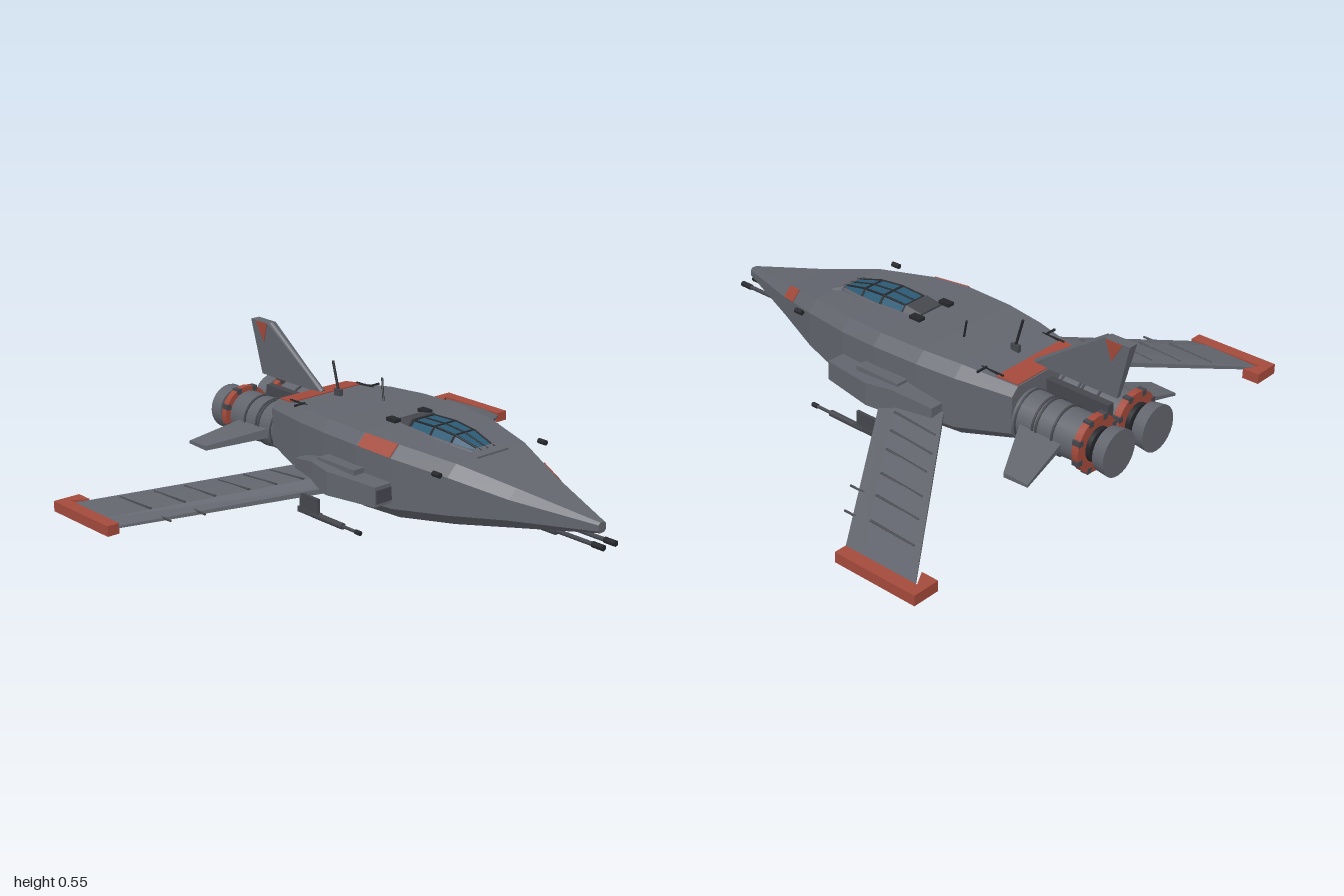
import * as THREE from 'three';

const mat = (name, color) => Object.assign(new THREE.MeshStandardMaterial({ color }), { name });

// Faceted solid through matching rings of [x, y, z] points, closed at both ends
function loft(rings) {
  const n = rings[0].length, tris = [];
  for (let r = 0; r < rings.length - 1; r++) {
    for (let i = 0; i < n; i++) {
      const j = (i + 1) % n, a = rings[r], b = rings[r + 1];
      tris.push([a[i], a[j], b[j]], [a[i], b[j], b[i]]);
    }
  }
  const last = rings[rings.length - 1];
  for (let i = 1; i < n - 1; i++) {
    tris.push([rings[0][0], rings[0][i + 1], rings[0][i]], [last[0], last[i], last[i + 1]]);
  }
  // Turn every face outward using the signed volume
  const v = (p) => new THREE.Vector3(...p);
  const o = v(rings[0][0]);
  let vol = 0;
  for (const [a, b, c] of tris) vol += v(a).sub(o).dot(v(b).sub(o).cross(v(c).sub(o)));
  if (vol < 0) tris.forEach((t) => t.reverse());
  const geo = new THREE.BufferGeometry();
  geo.setAttribute('position', new THREE.Float32BufferAttribute(tris.flat(2), 3));
  geo.computeVertexNormals();
  return geo;
}

const flip = (ring) => ring.map(([x, y, z]) => [-x, y, z]);

// Hull stations: z, half width, bottom, top, chamfer
const stations = [
  [0.93, 0.018, 0.172, 0.21, 0.008], [0.62, 0.13, 0.125, 0.27, 0.035], [0.4, 0.21, 0.095, 0.318, 0.042],
  [0.17, 0.265, 0.07, 0.342, 0.042], [0, 0.28, 0.07, 0.35, 0.04], [-0.2, 0.272, 0.07, 0.35, 0.04],
  [-0.36, 0.25, 0.07, 0.345, 0.04], [-0.58, 0.2, 0.12, 0.325, 0.03],
];
function section([z, w, b, t, c]) {
  const half = [[w - c, b, z], [w, b + c, z], [w, t - c, z], [w - c, t, z]];
  return [...half, ...flip(half).reverse()];
}
function sectionAt(z) {
  const k = Math.max(1, stations.findIndex((s) => s[0] <= z));
  const a = stations[k - 1], b = stations[k];
  const f = (z - a[0]) / (b[0] - a[0]);
  return section(a.map((v, i) => v + (b[i] - v) * f));
}

export function createModel() {
  const model = new THREE.Group();
  model.name = 'starfighter';
  const grey = mat('hullGrey', 0x62656d), dark = mat('darkMetal', 0x45474d);
  const black = mat('blackTrim', 0x25272b), red = mat('markingRed', 0xa34a3b), blue = mat('canopyGlass', 0x2b5a75);

  const add = (name, geo, m, x = 0, y = 0, z = 0) => {
    const mesh = new THREE.Mesh(geo, m);
    mesh.name = name;
    mesh.position.set(x, y, z);
    model.add(mesh);
    return mesh;
  };
  const box = (name, w, h, d, m, x, y, z) => add(name, new THREE.BoxGeometry(w, h, d), m, x, y, z);
  // Cylinder lying along z; r1 is the front radius
  const tube = (name, r1, r2, len, m, x, y, z, sides = 24) =>
    add(name, new THREE.CylinderGeometry(r1, r2, len, sides).rotateX(Math.PI / 2), m, x, y, z);
  const rod = (name, p, q, r, m) => {
    const a = new THREE.Vector3(...p), b = new THREE.Vector3(...q), d = b.clone().sub(a);
    const mesh = add(name, new THREE.CylinderGeometry(r, r, d.length(), 8), m);
    mesh.position.copy(a).add(b).multiplyScalar(0.5);
    mesh.quaternion.setFromUnitVectors(new THREE.Vector3(0, 1, 0), d.normalize());
  };
  const sided = (s, rings) => loft(s > 0 ? rings : rings.map(flip));

  // Hull
  add('hull', loft(stations.map(section)), grey);

  // Thin painted plates lying on one hull edge strip
  const patch = (name, edge, z0, z1, t0, t1) => {
    const at = (z, t) => {
      const s = sectionAt(z), a = s[edge], b = s[edge + 1];
      return a.map((v, i) => v + (b[i] - v) * t);
    };
    const q = [at(z0, t0), at(z0, t1), at(z1, t1), at(z1, t0)];
    const out = new THREE.Vector3(q[0][0] + q[2][0], edge === 3 ? 9 : 0.3, 0).normalize().multiplyScalar(0.004);
    add(name, loft([q, q.map((p) => [p[0] + out.x, p[1] + out.y, p[2]])]), red);
  };
  patch('dorsalMarking', 3, -0.575, -0.49, 0.02, 0.98);
  patch('leftNoseMarking', 2, 0.54, 0.615, 0, 1);
  patch('rightShoulderMarking', 4, 0.01, 0.165, 0, 1);

  // Canopy: glass body, sill, hoops and spine
  const canopy = (grow) => [[0.385, 0.05, 0.32, 0.33], [0.27, 0.07, 0.33, 0.36], [0.17, 0.078, 0.335, 0.369], [0.06, 0.075, 0.34, 0.366]]
    .map(([z, w, b, t]) => [[w + grow, b, z], [w * 0.65, t + grow, z], [-w * 0.65, t + grow, z], [-w - grow, b, z]]);
  const rings = canopy(0);
  add('canopyGlass', loft(rings), blue);
  const frame = canopy(0.003);
  for (const k of [1, 2, 3]) {
    add('canopyHoop', loft([frame[k], frame[k].map(([x, y, z]) => [x, y, z - 0.009])]), black);
  }
  for (let k = 0; k < 3; k++) {
    rod('canopySpine', [0, rings[k][1][1], rings[k][0][2]], [0, rings[k + 1][1][1], rings[k + 1][0][2]], 0.004, black);
    for (const s of [0, 1, 2, 3]) rod('canopyEdge', rings[k][s], rings[k + 1][s], s % 3 ? 0.004 : 0.009, s % 3 ? black : grey);
  }
  add('canopyNoseFrame', loft([
    [[0.085, 0.3, 0.41], [0.075, 0.323, 0.41], [-0.075, 0.323, 0.41], [-0.085, 0.3, 0.41]],
    [[0.085, 0.3, 0.37], [0.055, 0.338, 0.37], [-0.055, 0.338, 0.37], [-0.085, 0.3, 0.37]],
  ]), grey);
  add('canopyTail', loft([
    [[0.09, 0.33, 0.05], [0.055, 0.371, 0.05], [-0.055, 0.371, 0.05], [-0.09, 0.33, 0.05]],
    [[0.075, 0.34, -0.02], [0.05, 0.358, -0.02], [-0.05, 0.358, -0.02], [-0.075, 0.34, -0.02]],
  ]), dark);
  for (const s of [1, -1]) box('canopyHinge', 0.03, 0.02, 0.05, black, s * 0.078, 0.353, -0.025);

  for (const s of [1, -1]) {
    // Wing root housing
    add('wingRoot', sided(s, [[0.17, 0.34, 0.135, 0.21], [-0.05, 0.375, 0.13, 0.22], [-0.16, 0.355, 0.125, 0.225], [-0.31, 0.31, 0.13, 0.19]]
      .map(([z, x, b, t]) => [[0.22, b, z], [x, b, z], [x, t, z], [0.22, t, z]])), grey);
    box('wingRootIntake', 0.07, 0.05, 0.006, dark, s * 0.3, 0.172, 0.171);
    box('wingRootCap', 0.05, 0.02, 0.2, grey, s * 0.3, 0.226, -0.06);

    // Swept, drooping wing
    const wing = [[0.26, -0.03, -0.32, 0.145, 0.03], [0.96, -0.525, -0.835, 0.024, 0.013]].map(([x, f, b, y, h]) => {
      const d = b - f;
      return [[x, y - h * 0.35, f], [x, y + h * 0.35, f], [x, y + h, f + d * 0.25], [x, y + h * 0.4, b], [x, y - h * 0.4, b], [x, y - h, f + d * 0.25]];
    });
    add('wing', sided(s, wing), grey);
    // Ribs on the wing top
    for (const x of [0.37, 0.45, 0.53, 0.63, 0.72, 0.82]) {
      const t = (x - 0.26) / 0.7, z = -0.03 - 0.495 * t, y = 0.175 - 0.138 * t;
      const back = -0.29 - 0.515 * t;
      rod('wingRib', [s * x, y + 0.001, z - 0.08], [s * x, y - 0.018 + 0.012 * t, back - (x < 0.5 ? 0.01 : 0)], 0.0045, dark);
      if (x > 0.7) rod('wingProbe', [s * x, y - 0.013, z + 0.04], [s * x, y - 0.013, z - 0.05], 0.004, dark);
    }
    // Red wing tip, L-shaped in plan
    const tip = new THREE.Shape([[0.95, 0.52], [1, 0.52], [1, 0.87], [0.89, 0.87], [0.89, 0.8], [0.95, 0.835]]
      .map(([x, z]) => new THREE.Vector2(s * x, -z)));
    add('wingTip', new THREE.ExtrudeGeometry(tip, { depth: 0.04, bevelEnabled: false }).rotateX(Math.PI / 2).scale(1, 1, 1), red, 0, 0.04, 0);

    // Underwing gun and pylon
    tube('wingGunBody', 0.012, 0.012, 0.17, dark, s * 0.415, 0.06, 0, 10);
    tube('wingGunBarrel', 0.006, 0.006, 0.12, dark, s * 0.415, 0.06, 0.115, 8);
    tube('wingGunMuzzle', 0.009, 0.009, 0.025, black, s * 0.415, 0.06, 0.165, 8);
    box('wingGunPylon', 0.012, 0.07, 0.1, dark, s * 0.415, 0.09, -0.1);
    box('wingGunRail', 0.018, 0.02, 0.12, dark, s * 0.415, 0.062, -0.1);

    // Nose cannons and cheek sensors
    tube('noseCannon', 0.008, 0.008, 0.36, dark, s * 0.03, 0.135, 0.77, 10);
    tube('noseCannonSleeve', 0.013, 0.013, 0.16, dark, s * 0.03, 0.132, 0.67, 10);
    tube('noseCannonMuzzle', 0.011, 0.011, 0.05, black, s * 0.03, 0.135, 0.942, 10);
    tube('cheekSensor', 0.01, 0.01, 0.035, black, s * 0.26, 0.3, 0.4, 10);

    // Engine
    const ex = s * 0.108, ey = 0.195;
    tube('engineBody', 0.093, 0.088, 0.3, grey, ex, ey, -0.7);
    for (const z of [-0.595, -0.67, -0.685, -0.755]) tube('engineBand', 0.095, 0.095, 0.008, dark, ex, ey, z);
    tube('engineRing', 0.106, 0.106, 0.027, red, ex, ey, -0.868);
    for (let i = 0; i < 8; i++) {
      const a = (i + 0.5) * Math.PI / 4;
      box('engineRingClamp', 0.022, 0.022, 0.03, dark, ex + Math.cos(a) * 0.098, ey + Math.sin(a) * 0.098, -0.868);
    }
    tube('engineThroat', 0.065, 0.065, 0.03, black, ex, ey, -0.885);
    tube('engineNozzle', 0.082, 0.088, 0.05, grey, ex, ey, -0.948);

    // Tail stabiliser
    add('stabiliser', sided(s, [[0.17, -0.6, -0.79, 0.19, 0.02], [0.41, -0.725, -0.83, 0.145, 0.009]]
      .map(([x, f, b, y, h]) => [[x, y - h, f], [x, y + h, f], [x, y + h * 0.6, b], [x, y - h * 0.6, b]])), grey);
    // Rear deck vents
    box('deckVent', 0.05, 0.008, 0.006, black, s * 0.185, 0.341, -0.43);
    box('deckVentSide', 0.006, 0.008, 0.1, black, s * 0.165, 0.337, -0.46);
  }

  // Tail fin, thicker toward the top
  const finRing = (x0, x1) => [[x0, 0.328, -0.51], [x1, 0.545, -0.825], [x1, 0.545, -0.93], [x0, 0.328, -0.88]];
  add('tailFin', loft([finRing(0.009, 0.02), finRing(-0.009, -0.02)]), grey);
  rod('finLeadingEdge', [0, 0.33, -0.52], [0, 0.54, -0.825], 0.012, grey);
  for (const s of [1, -1]) {
    const mark = (x) => [[s * x, 0.543, -0.83], [s * x, 0.543, -0.9], [s * (x - 0.004), 0.465, -0.855]];
    add('finMarking', loft([mark(0.018), mark(0.0225)]), red);
  }
  box('engineSpine', 0.03, 0.08, 0.3, dark, 0, 0.25, -0.7);

  // Aerials
  rod('aerial', [0.06, 0.345, -0.235], [0.08, 0.43, -0.265], 0.004, black);
  rod('aerial', [0, 0.36, -0.425], [0, 0.47, -0.455], 0.005, black);
  box('aerialBase', 0.014, 0.03, 0.035, dark, 0, 0.35, -0.425);

  // Belly turret and hatch
  add('bellyTurret', new THREE.CylinderGeometry(0.032, 0.022, 0.05, 12), dark, 0, 0.06, 0.33);
  box('bellyHatch', 0.22, 0.008, 0.3, dark, 0, 0.07, -0.08);
  box('bellyHatchPanel', 0.2, 0.008, 0.28, grey, 0, 0.067, -0.08);
  return model;
}
